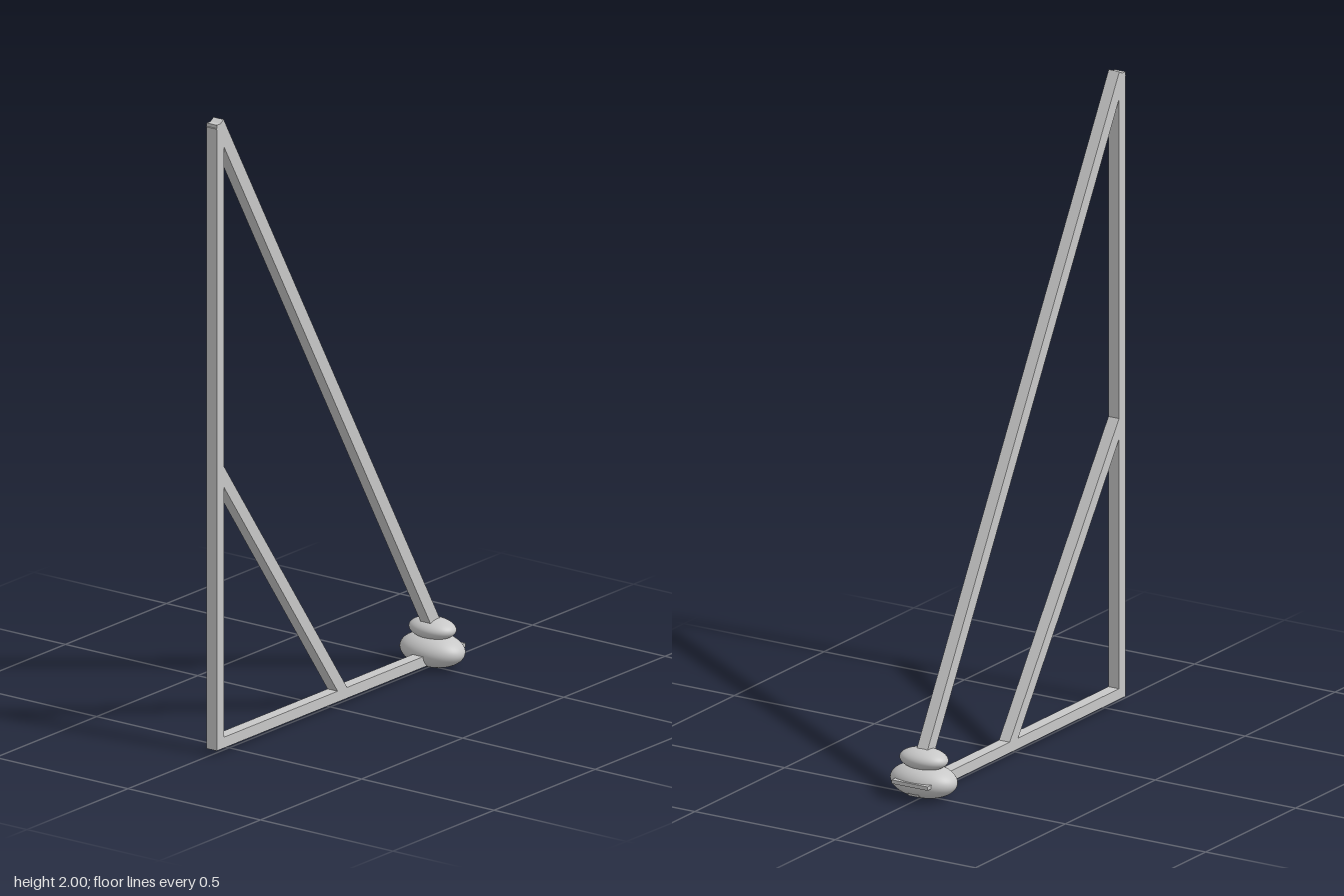
import * as THREE from 'three';

export function createModel() {
  const model = new THREE.Group();
  model.name = 'triangularFrame';
  const grey = new THREE.MeshStandardMaterial({ color: 0xc8c8c8 });
  grey.name = 'light grey';

  const add = (name, geometry) => {
    const mesh = new THREE.Mesh(geometry, grey);
    mesh.name = name;
    model.add(mesh);
    return mesh;
  };

  // Straight square bar between two [y, z] points in the x = 0 plane
  const bar = (name, [y0, z0], [y1, z1], depth) => {
    const dy = y1 - y0, dz = z1 - z0;
    const mesh = add(name, new THREE.BoxGeometry(0.038, Math.hypot(dy, dz), depth));
    mesh.position.set(0, (y0 + y1) / 2, (z0 + z1) / 2);
    mesh.rotation.x = Math.atan2(dz, dy);
  };

  // Flattened round knob
  const knob = (name, y, rx, ry, rz) => {
    const mesh = add(name, new THREE.SphereGeometry(1, 48, 32));
    mesh.scale.set(rx, ry, rz);
    mesh.position.set(0, y, -0.506);
  };

  // Frame bars
  bar('uprightPost', [0.016, 0.568], [1.99, 0.568], 0.036);
  bar('baseBar', [0.033, 0.585], [0.033, -0.566], 0.034);
  bar('longDiagonal', [1.989, 0.57], [0.102, -0.52], 0.042);
  bar('shortBrace', [0.899, 0.57], [0.036, -0.045], 0.038);

  // Stacked knobs at the rear corner
  knob('lowerKnob', 0.053, 0.111, 0.053, 0.074);
  knob('upperKnob', 0.12, 0.08, 0.033, 0.055);

  // Thin plate showing behind the lower knob
  const plate = add('rearPlate', new THREE.BoxGeometry(0.128, 0.012, 0.08));
  plate.position.set(0, 0.057, -0.546);

  return model;
}
